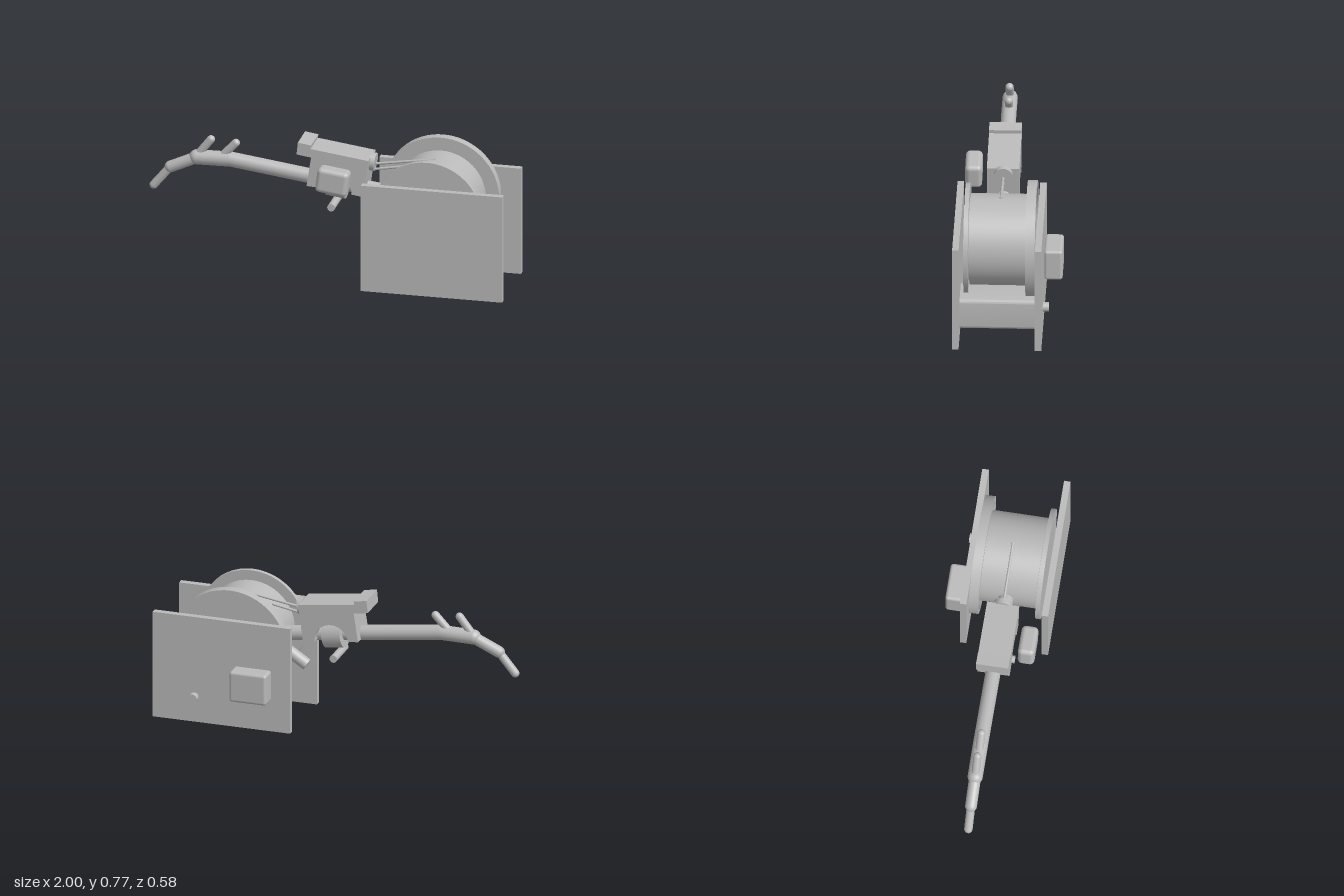
import * as THREE from 'three';
import { toCreasedNormals } from 'three/addons/utils/BufferGeometryUtils.js';
import { RoundedBoxGeometry } from 'three/addons/geometries/RoundedBoxGeometry.js';

export function createModel() {
  const model = new THREE.Group();
  const grey = new THREE.MeshStandardMaterial({ color: 0xbababa });
  grey.name = 'plain grey';
  const ARM_Z = 0.043;   // plane of the arm
  const TILT = -0.13;    // slope of the arm

  function add(name, geometry, x = 0, y = 0, z = 0, parent = model) {
    const mesh = new THREE.Mesh(geometry, grey);
    mesh.name = name;
    mesh.position.set(x, y, z);
    parent.add(mesh);
    return mesh;
  }

  // Cylinder along z between two depths
  function zCylinder(name, x, y, r, z0, z1) {
    const g = new THREE.CylinderGeometry(r, r, z1 - z0, 48).rotateX(Math.PI / 2);
    return add(name, g, x, y, (z0 + z1) / 2);
  }

  // Rod between two points in the arm plane, with flat or round ends
  function rod(name, a, b, r, round = false, parent = model) {
    const from = new THREE.Vector3(a[0], a[1], ARM_Z);
    const to = new THREE.Vector3(b[0], b[1], ARM_Z);
    const dir = to.clone().sub(from);
    const len = dir.length();
    const g = round ? new THREE.CapsuleGeometry(r, len, 8, 24) : new THREE.CylinderGeometry(r, r, len, 24);
    const mid = from.add(to).multiplyScalar(0.5);
    const mesh = add(name, g, mid.x, mid.y, mid.z, parent);
    mesh.quaternion.setFromUnitVectors(new THREE.Vector3(0, 1, 0), dir.normalize());
    return mesh;
  }

  // Side plates
  add('frontPlate', new THREE.BoxGeometry(0.78, 0.605, 0.035), 0.61, 0.3025, 0.2715);
  add('backPlate', new THREE.BoxGeometry(0.78, 0.605, 0.035), 0.61, 0.3025, -0.1725);

  // Drum with its flanges
  const DX = 0.573, DY = 0.447;
  zCylinder('drum', DX, DY, 0.246, -0.1, 0.205);
  zCylinder('drumNeck', DX, DY, 0.225, 0.2, 0.212);
  zCylinder('frontFlange', DX, DY, 0.3, 0.21, 0.235);
  const rim = [[0, -0.012], [0.29, -0.012], [0.29, -0.026], [0.32, -0.026],
    [0.32, 0.026], [0.295, 0.026], [0.295, 0.014], [0, 0.014]].map(p => new THREE.Vector2(...p));
  const rimGeo = toCreasedNormals(new THREE.LatheGeometry(rim, 64), 0.6).rotateX(Math.PI / 2);
  add('backFlange', rimGeo, DX, DY, -0.124);

  // Spacer block between the plates, rounded along its length
  const s = new THREE.Shape();
  const w = 0.105, h = 0.0875, r = 0.02;
  s.absarc(w - r, h - r, r, 0, Math.PI / 2);
  s.absarc(-w + r, h - r, r, Math.PI / 2, Math.PI);
  s.absarc(-w + r, -h + r, r, Math.PI, Math.PI * 1.5);
  s.absarc(w - r, -h + r, r, Math.PI * 1.5, Math.PI * 2);
  const spacer = new THREE.ExtrudeGeometry(s, { depth: 0.41, bevelEnabled: false, curveSegments: 8 });
  add('spacerBlock', toCreasedNormals(spacer, 0.6), 0.765, 0.1425, -0.155);

  // Gearbox and knob on the back plate
  add('backMotor', new RoundedBoxGeometry(0.21, 0.175, 0.1, 4, 0.016), 0.43, 0.267, -0.237);
  zCylinder('backKnob', 0.765, 0.143, 0.026, -0.223, -0.185);

  // Arm: stepped, bent tube with two prongs
  const arm = new THREE.Group();
  arm.name = 'arm';
  model.add(arm);
  rod('armTube', [0.36, 0.479], [-0.56, 0.6], 0.041, false, arm);
  rod('armBend', [-0.55, 0.599], [-0.74, 0.596], 0.041, true, arm);
  rod('armWrist', [-0.74, 0.594], [-0.885, 0.528], 0.032, true, arm);
  rod('armTip', [-0.885, 0.528], [-0.977, 0.417], 0.023, true, arm);
  rod('prong', [-0.735, 0.61], [-0.662, 0.704], 0.022, true, arm);
  rod('prong', [-0.605, 0.61], [-0.525, 0.695], 0.022, true, arm);

  // Angled stub below the arm
  rod('lowerStub', [0.203, 0.314], [0.36, 0.415], 0.033);

  // Bracket arching over the arm
  const b = new THREE.Shape();
  b.moveTo(-0.163, 0.761);
  b.lineTo(-0.09, 0.75);
  b.lineTo(-0.093, 0.73);
  b.lineTo(0.225, 0.688);
  b.lineTo(0.197, 0.479);
  b.absarc(0.037, 0.5, 0.095, TILT, Math.PI + TILT, false);
  b.lineTo(-0.115, 0.516);
  b.lineTo(-0.09, 0.681);
  b.lineTo(-0.17, 0.692);
  b.closePath();
  const bracket = new THREE.ExtrudeGeometry(b, { depth: 0.175, bevelEnabled: false, curveSegments: 24 });
  add('bracket', toCreasedNormals(bracket, 0.6), 0, 0, -0.043);

  // Sleeve round the arm, pin below it and motor beside it
  rod('sleeve', [-0.01, 0.528], [0.095, 0.514], 0.083);
  zCylinder('pin', 0.022, 0.405, 0.021, -0.053, 0.14);
  const motor = add('bracketMotor', new RoundedBoxGeometry(0.175, 0.14, 0.091, 4, 0.025), 0.049, 0.588, 0.207);
  motor.rotation.z = TILT;

  // Cable guide and the two cables running to the drum
  rod('cableGuide', [0.215, 0.656], [0.246, 0.652], 0.05);
  rod('cable', [0.235, 0.641], [0.575, 0.695], 0.007);
  rod('cable', [0.235, 0.61], [0.4, 0.64], 0.007);

  return model;
}
